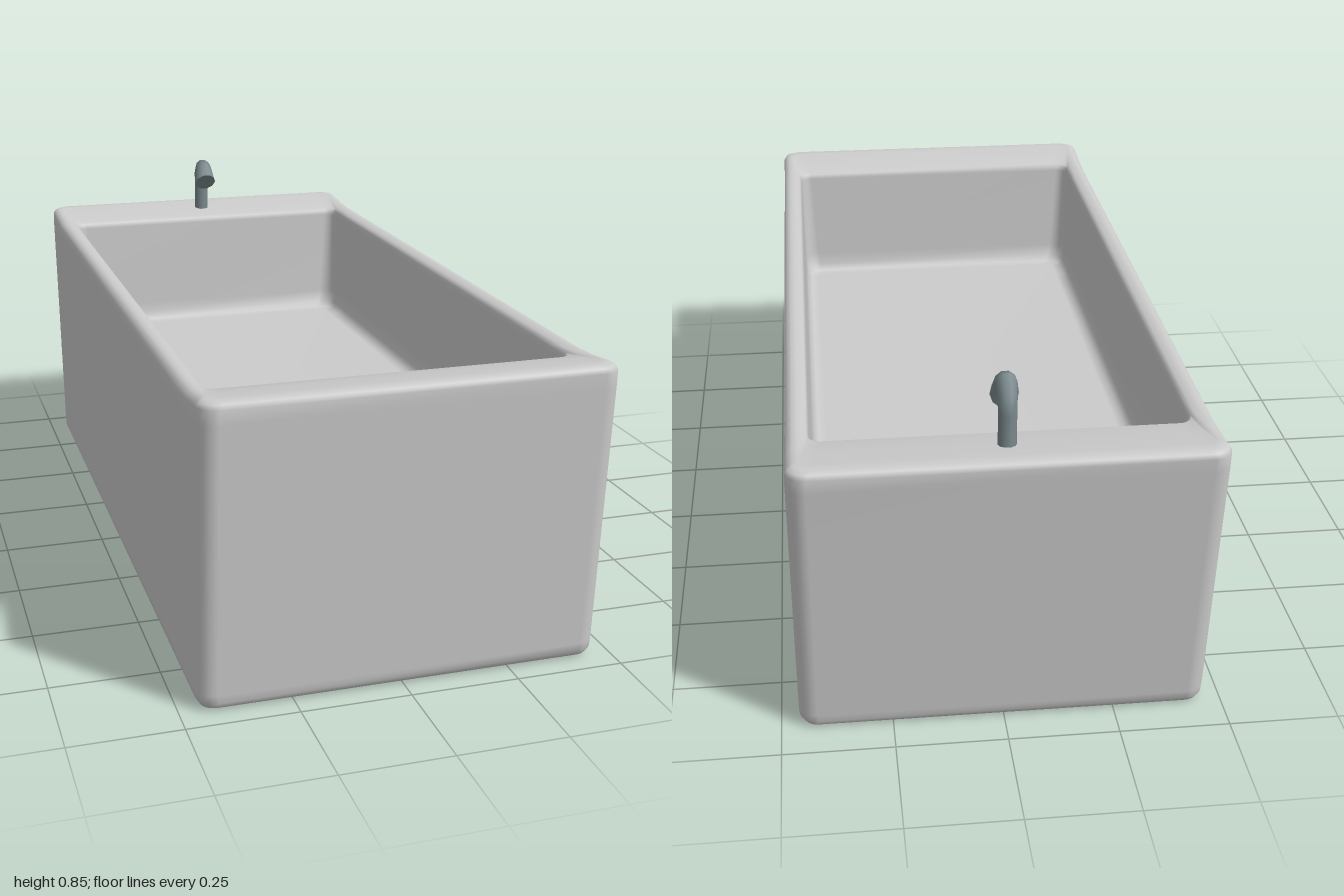
import * as THREE from 'three';

// Skins a list of equal-length closed rings of points, with smooth normals
function skin(rings) {
  const n = rings[0].length, pos = [], index = [];
  rings.forEach(ring => ring.forEach(p => pos.push(...p)));
  for (let i = 0; i < rings.length - 1; i++) {
    for (let j = 0; j < n; j++) {
      const a = i * n + j, b = i * n + (j + 1) % n;
      index.push(a, a + n, b, b, a + n, b + n);
    }
  }
  const geo = new THREE.BufferGeometry();
  geo.setAttribute('position', new THREE.Float32BufferAttribute(pos, 3));
  geo.setIndex(index);
  geo.computeVertexNormals();
  return geo;
}

// The rim rises slightly towards both short ends
const endRise = z => 0.014 * THREE.MathUtils.smoothstep(Math.abs(z), 0.82, 0.97);

// Rounded rectangle at height y, from zb to zf, half width w, corner radius r
function tubRing(y, w, zf, zb, r, rise) {
  const pts = [], steps = 6;
  const add = (x, z) => pts.push([x, y + (rise ? endRise(z) : 0), z]);
  const corner = (cx, cz, start) => {
    for (let k = 0; k <= steps; k++) {
      const a = start + (k / steps) * Math.PI / 2;
      add(cx + r * Math.cos(a), cz + r * Math.sin(a));
    }
  };
  // extra points along the long sides keep the middle of the rim level
  const fractions = [0.04, 0.08, 0.5, 0.92, 0.96];
  const side = (x, z0, z1) => fractions.forEach(t => add(x, z0 + (z1 - z0) * t));
  corner(w - r, zf - r, 0);
  corner(r - w, zf - r, Math.PI / 2);
  side(-w, zf - r, zb + r);
  corner(r - w, zb + r, Math.PI);
  corner(w - r, zb + r, Math.PI * 1.5);
  side(w, zb + r, zf - r);
  return pts;
}

// Circle of radius r around (y, z), its axis tilted forward by t degrees
function pipeRing([y, z, t, r]) {
  const a = THREE.MathUtils.degToRad(t), sides = 10;
  return Array.from({ length: sides }, (_, k) => {
    const u = (k / sides) * Math.PI * 2, s = r * Math.sin(u);
    return [r * Math.cos(u), y - s * Math.sin(a), z + s * Math.cos(a)];
  });
}

export function createModel() {
  const group = new THREE.Group();

  // Tub: underside, leaning outer walls, rolled rim, inner walls and floor
  const tubProfile = [
    [0, 0.01, 0.01, -0.01, 0.005],
    [0, 0.435, 0.93, -0.90, 0.02],
    [0.006, 0.45, 0.945, -0.915, 0.033],
    [0.02, 0.459, 0.955, -0.924, 0.042],
    [0.04, 0.46, 0.957, -0.927, 0.042],
    [0.35, 0.46, 0.977, -0.96, 0.042],
    [0.655, 0.46, 0.997, -0.995, 0.042],
    [0.675, 0.459, 1.0, -1.0, 0.042, true],
    [0.685, 0.453, 0.995, -0.995, 0.04, true],
    [0.69, 0.443, 0.983, -0.983, 0.035, true],
    [0.69, 0.432, 0.96, -0.96, 0.03, true],
    [0.687, 0.42, 0.90, -0.89, 0.03, true],
    [0.683, 0.413, 0.85, -0.83, 0.03, true],
    [0.677, 0.41, 0.842, -0.82, 0.03],
    [0.665, 0.408, 0.84, -0.817, 0.03],
    [0.42, 0.406, 0.836, -0.813, 0.04],
    [0.385, 0.402, 0.832, -0.809, 0.04],
    [0.37, 0.39, 0.82, -0.797, 0.035],
    [0.365, 0.37, 0.80, -0.777, 0.03],
    [0.365, 0.01, 0.01, -0.01, 0.005],
  ].map(p => tubRing(...p));
  // Close the small holes at the middle of the underside and the floor
  const point = y => tubProfile[0].map(() => [0, y, 0]);
  const tub = new THREE.Mesh(
    skin([point(0), ...tubProfile, point(0.365)]),
    new THREE.MeshStandardMaterial({ color: 0xcccccc }));
  tub.name = 'tub';
  group.add(tub);

  // Faucet: upright pipe with a hooked, slightly flared spout
  const end = [0.784, -0.845, 127, 0.031];
  const faucetRings = [
    [0.66, -0.903, 0, 0.02],
    [0.77, -0.902, 0, 0.02],
    [0.805, -0.898, 15, 0.021],
    [0.826, -0.876, 75, 0.023],
    [0.818, -0.862, 110, 0.025],
    end,
    end, // repeated so the mouth keeps a sharp edge
    [0.784, -0.845, 127, 0],
  ].map(pipeRing);
  const faucet = new THREE.Mesh(skin(faucetRings),
    new THREE.MeshStandardMaterial({ color: 0x7a888c }));
  faucet.name = 'faucet';
  group.add(faucet);

  return group;
}
